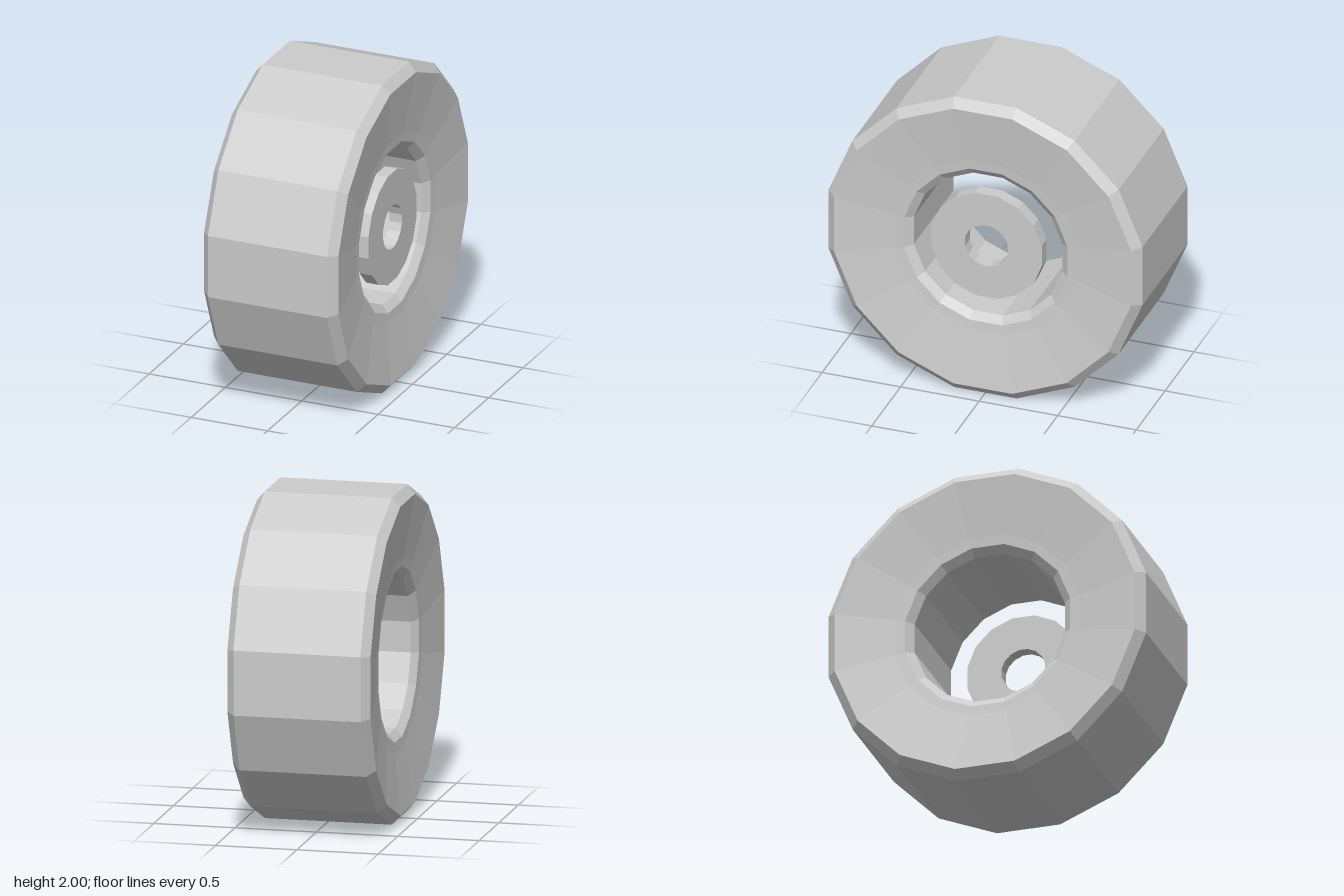
import * as THREE from 'three';

const SIDES = 16;

// Faceted ring turned about the x axis; profile is a loop of [apothem, x],
// running towards +x on the outside and back again on the inside.
function turnedRing(name, profile) {
  const toCorner = 1 / Math.cos(Math.PI / SIDES);
  const points = [...profile, profile[0]].map(([r, x]) => new THREE.Vector2(r * toCorner, x));
  const geometry = new THREE.LatheGeometry(points, SIDES, Math.PI / SIDES);
  geometry.rotateZ(-Math.PI / 2);
  const mesh = new THREE.Mesh(
    geometry,
    new THREE.MeshStandardMaterial({ color: 0xcccccc, flatShading: true })
  );
  mesh.name = name;
  return mesh;
}

export function createModel() {
  const model = new THREE.Group();
  model.name = 'wheel';

  // Half of the tire section, from tread edge to bore; mirrored for the other side
  const half = [
    [1.0, 0.39],    // tread edge
    [0.945, 0.44],  // shoulder bevel
    [0.58, 0.39],   // dished sidewall
    [0.52, 0.385],  // inner lip
    [0.473, 0.345]  // bore bevel
  ];
  const mirrored = half.map(([r, x]) => [r, -x]).reverse();
  const tire = turnedRing('tire', [...half, ...mirrored]);

  // Thin hub disc with an axle hole, set just inside the +x opening
  const hub = turnedRing('hubDisc', [
    [0.352, 0.288],
    [0.352, 0.37],
    [0.137, 0.37],
    [0.137, 0.288]
  ]);

  const wheel = new THREE.Group();
  wheel.name = 'wheelAssembly';
  wheel.position.y = 1;
  wheel.add(tire, hub);
  model.add(wheel);
  return model;
}
